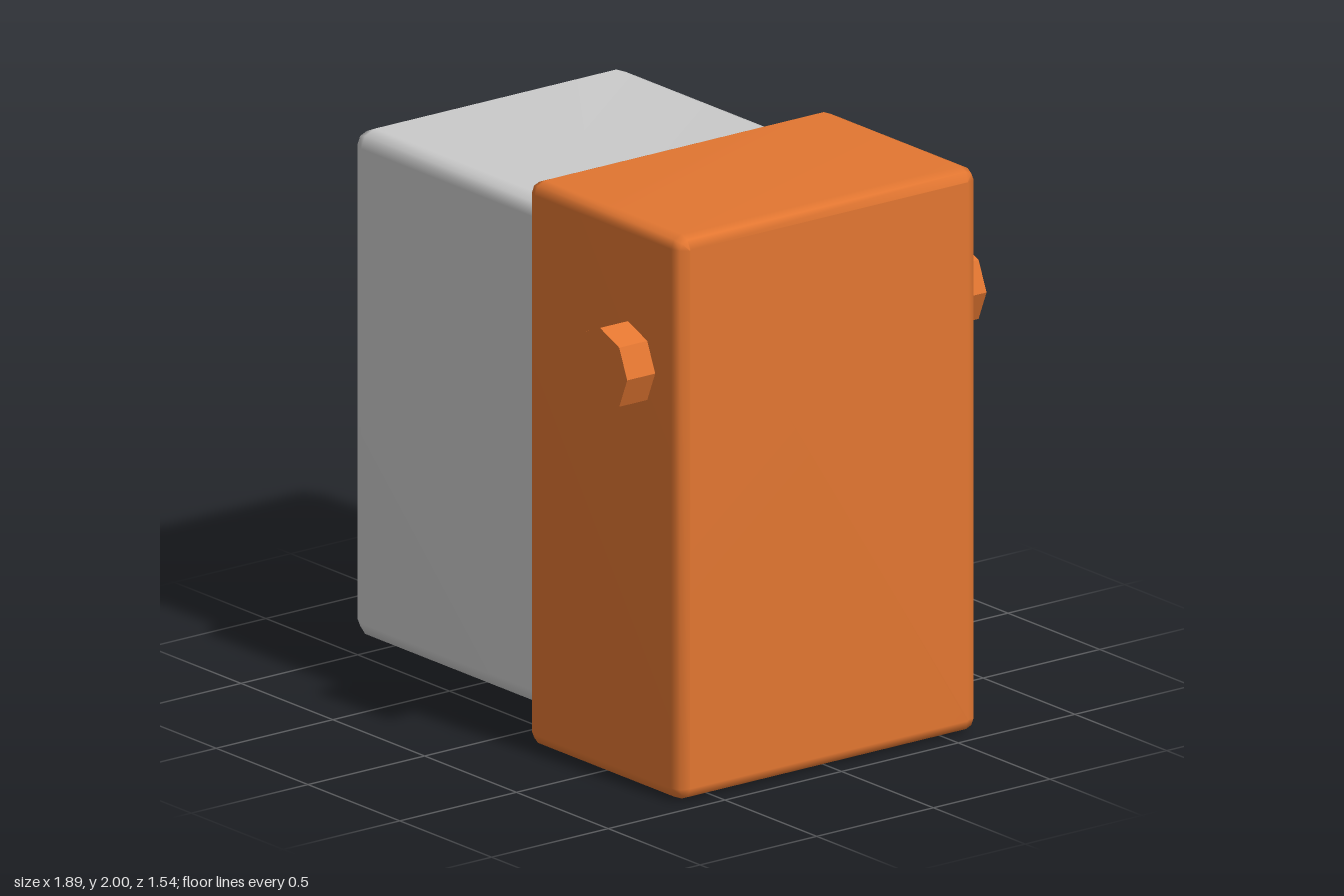
import * as THREE from 'three';

const grey = new THREE.MeshStandardMaterial({ color: 0xcccccc });
const orange = new THREE.MeshStandardMaterial({ color: 0xe27631 });
const orangeFlat = new THREE.MeshStandardMaterial({ color: 0xe27631, flatShading: true });

// Lofts bevelled rectangles along x. Each section is [x, inset]; bevel is the corner size.
function loftBox(sections, halfY, halfZ, bevel) {
  const pos = [], index = [], n = 12;
  const corners = [[1, 1, 0], [-1, 1, 1], [-1, -1, 2], [1, -1, 3]];
  for (const [x, inset] of sections) {
    const r = Math.max(bevel - inset, 0.004);
    for (const [sy, sz, quarter] of corners) {
      for (let k = 0; k < 3; k++) {
        const a = (quarter + k / 2) * Math.PI / 2;
        pos.push(x,
          sy * (halfY - inset - r) + r * Math.cos(a),
          sz * (halfZ - inset - r) + r * Math.sin(a));
      }
    }
  }
  const last = (sections.length - 1) * n;
  for (let i = 0; i < last; i += n) {
    for (let j = 0; j < n; j++) {
      const a = i + j, b = i + (j + 1) % n;
      index.push(a, b, b + n, a, b + n, a + n);
    }
  }
  // End caps
  for (let j = 1; j < n - 1; j++) {
    index.push(0, j + 1, j, last, last + j, last + j + 1);
  }
  const geo = new THREE.BufferGeometry();
  geo.setAttribute('position', new THREE.Float32BufferAttribute(pos, 3));
  geo.setIndex(index);
  geo.computeVertexNormals();
  return geo;
}

export function createModel() {
  const model = new THREE.Group();
  const add = (name, geo, mat, x, y, z) => {
    const mesh = new THREE.Mesh(geo, mat);
    mesh.name = name;
    mesh.position.set(x, y, z);
    model.add(mesh);
    return mesh;
  };

  // Grey body with a rounded outer end and a collar flaring into the cap
  add('body', loftBox([
    [-0.945, 0.07], [-0.925, 0.02], [-0.88, 0],
    [0.07, 0], [0.11, -0.035], [0.14, -0.035],
  ], 0.9, 0.577, 0.06), grey, 0, 1, 0.003);

  // Larger orange cap
  add('cap', loftBox([
    [0.11, 0.045], [0.123, 0.013], [0.155, 0],
    [0.897, 0], [0.929, 0.013], [0.942, 0.045],
  ], 1, 0.642, 0.045), orange, 0, 1, 0.008);

  // Eight-sided studs: centre, radius and z range
  const studs = [
    ['frontStud', 0.663, 1.493, 0.148, 0.6, 0.77],
    ['backStud', 0.663, 1.493, 0.148, -0.77, -0.58],
    ['smallBackStud', 0.381, 0.46, 0.088, -0.708, -0.58],
  ];
  for (const [name, x, y, r, z0, z1] of studs) {
    const stud = add(name, new THREE.CylinderGeometry(r, r, z1 - z0, 8), orangeFlat, x, y, (z0 + z1) / 2);
    stud.rotation.x = Math.PI / 2;
  }
  return model;
}
